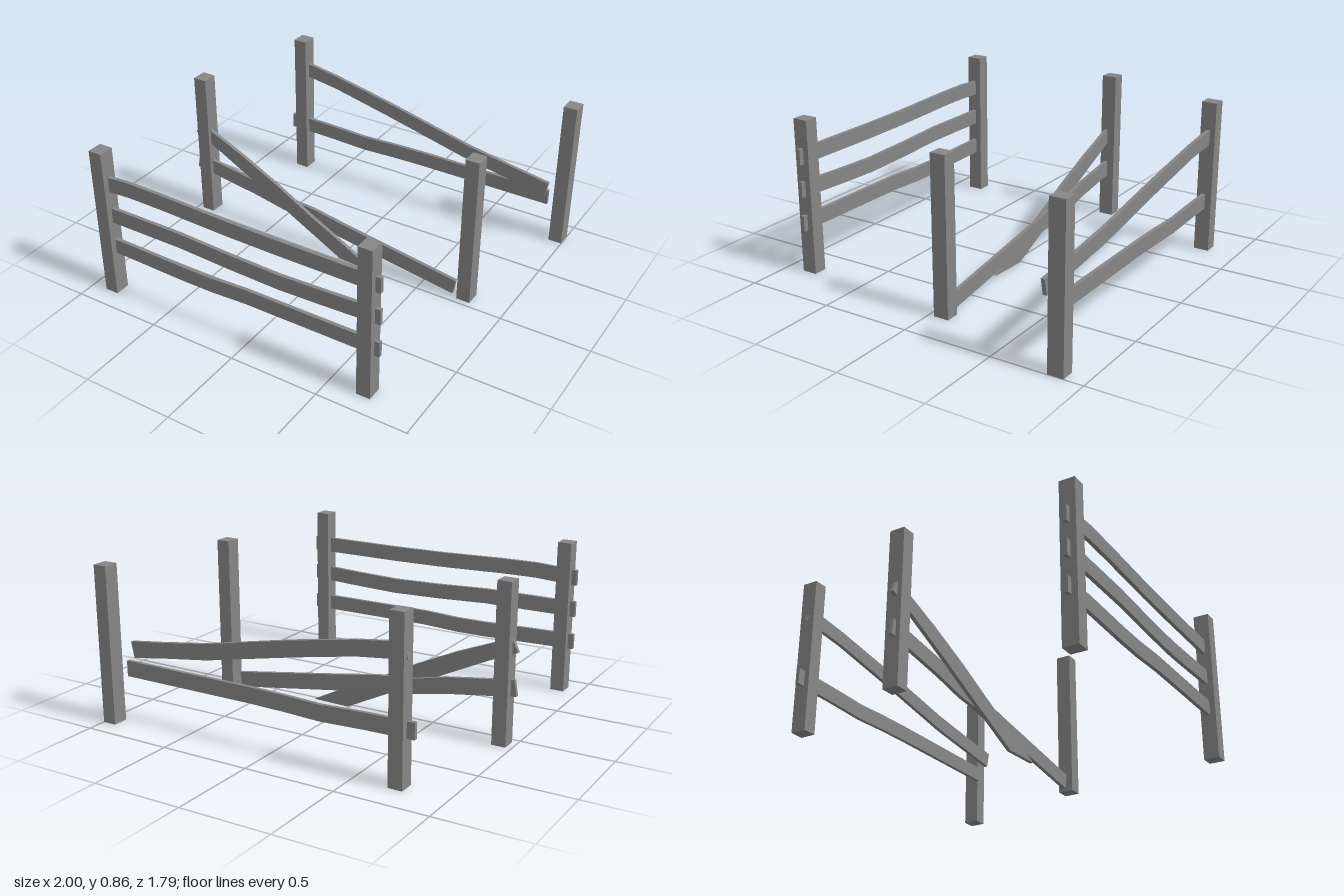
import * as THREE from 'three';

const material = new THREE.MeshStandardMaterial({ color: 0x868686, flatShading: true });
const POST = { w: 0.077, h: 0.86, d: 0.086 };
const THICK = 0.021;

function post(name, x, z) {
  const mesh = new THREE.Mesh(new THREE.BoxGeometry(POST.w, POST.h, POST.d), material);
  mesh.name = name;
  mesh.position.set(x, POST.h / 2, z);
  return mesh;
}

// Plank outlined by its top and bottom edges (left to right), sheared in z from zLeft to zRight
function rail(name, top, bottom, zLeft, zRight = zLeft) {
  const outline = [...bottom, ...[...top].reverse()].map(([x, y]) => new THREE.Vector2(x, y));
  const geo = new THREE.ExtrudeGeometry(new THREE.Shape(outline), { depth: THICK, bevelEnabled: false });
  const xs = outline.map((p) => p.x);
  const x0 = Math.min(...xs), x1 = Math.max(...xs);
  const pos = geo.attributes.position;
  for (let i = 0; i < pos.count; i++) {
    const t = (pos.getX(i) - x0) / (x1 - x0);
    pos.setZ(i, pos.getZ(i) - THICK / 2 + THREE.MathUtils.lerp(zLeft, zRight, t));
  }
  geo.computeVertexNormals();
  const mesh = new THREE.Mesh(geo, material);
  mesh.name = name;
  return mesh;
}

// Level plank of even height along a slightly wavy centre line
function levelRail(name, line, z) {
  const shift = (dy) => line.map(([x, y]) => [x, y + dy]);
  return rail(name, shift(0.043), shift(-0.043), z);
}

function section(name, ...parts) {
  const group = new THREE.Group();
  group.name = name;
  group.add(...parts);
  return group;
}

export function createModel() {
  const model = new THREE.Group();
  model.name = 'brokenFences';

  // Intact fence with three rails
  model.add(section('frontFence',
    post('rightPost', -0.876, 0.85),
    post('leftPost', 0.7, 0.85),
    levelRail('topRail', [[-0.945, 0.662], [-0.7, 0.676], [-0.5, 0.674], [-0.1, 0.662], [0.2, 0.659], [0.767, 0.661]], 0.85),
    levelRail('middleRail', [[-0.945, 0.481], [-0.4, 0.481], [-0.1, 0.467], [0.2, 0.459], [0.45, 0.467], [0.767, 0.481]], 0.85),
    levelRail('bottomRail', [[-0.945, 0.292], [-0.7, 0.287], [-0.4, 0.279], [-0.22, 0.279], [0, 0.29], [0.767, 0.291]], 0.85)));

  // Fence whose rails have both dropped to the ground
  model.add(section('middleFence',
    post('rightPost', -0.93, -0.075),
    post('leftPost', 0.765, -0.075),
    rail('saggingRail',
      [[-0.985, 0.35], [-0.6, 0.295], [-0.4, 0.25], [-0.2, 0.235], [0, 0.2], [0.703, 0.09]],
      [[-1, 0.265], [-0.84, 0.24], [-0.6, 0.205], [-0.4, 0.165], [-0.25, 0.15], [0, 0.108], [0.69, 0.004]], -0.066),
    rail('fallenRail',
      [[-0.965, 0.565], [-0.66, 0.44], [-0.42, 0.328], [-0.2, 0.213], [0.02, 0.108], [0.23, 0]],
      [[-1, 0.495], [-0.84, 0.425], [-0.6, 0.308], [-0.3, 0.154], [0.01, 0]], -0.068, -0.013)));

  // Fence with one level rail and one slipped rail, both clear of the left post
  model.add(section('backFence',
    post('rightPost', -0.735, -0.795),
    post('leftPost', 0.96, -0.852),
    levelRail('lowerRail', [[-0.815, 0.292], [-0.55, 0.288], [-0.3, 0.279], [-0.1, 0.287], [0.1, 0.291], [0.897, 0.291]], -0.791),
    rail('slippedRail',
      [[-0.765, 0.715], [-0.5, 0.678], [-0.15, 0.613], [0, 0.582], [0.4, 0.497], [0.7, 0.45], [0.915, 0.42]],
      [[-0.78, 0.632], [-0.5, 0.597], [-0.15, 0.528], [0, 0.496], [0.4, 0.41], [0.7, 0.365], [0.897, 0.332]], -0.8, -0.731)));

  return model;
}
